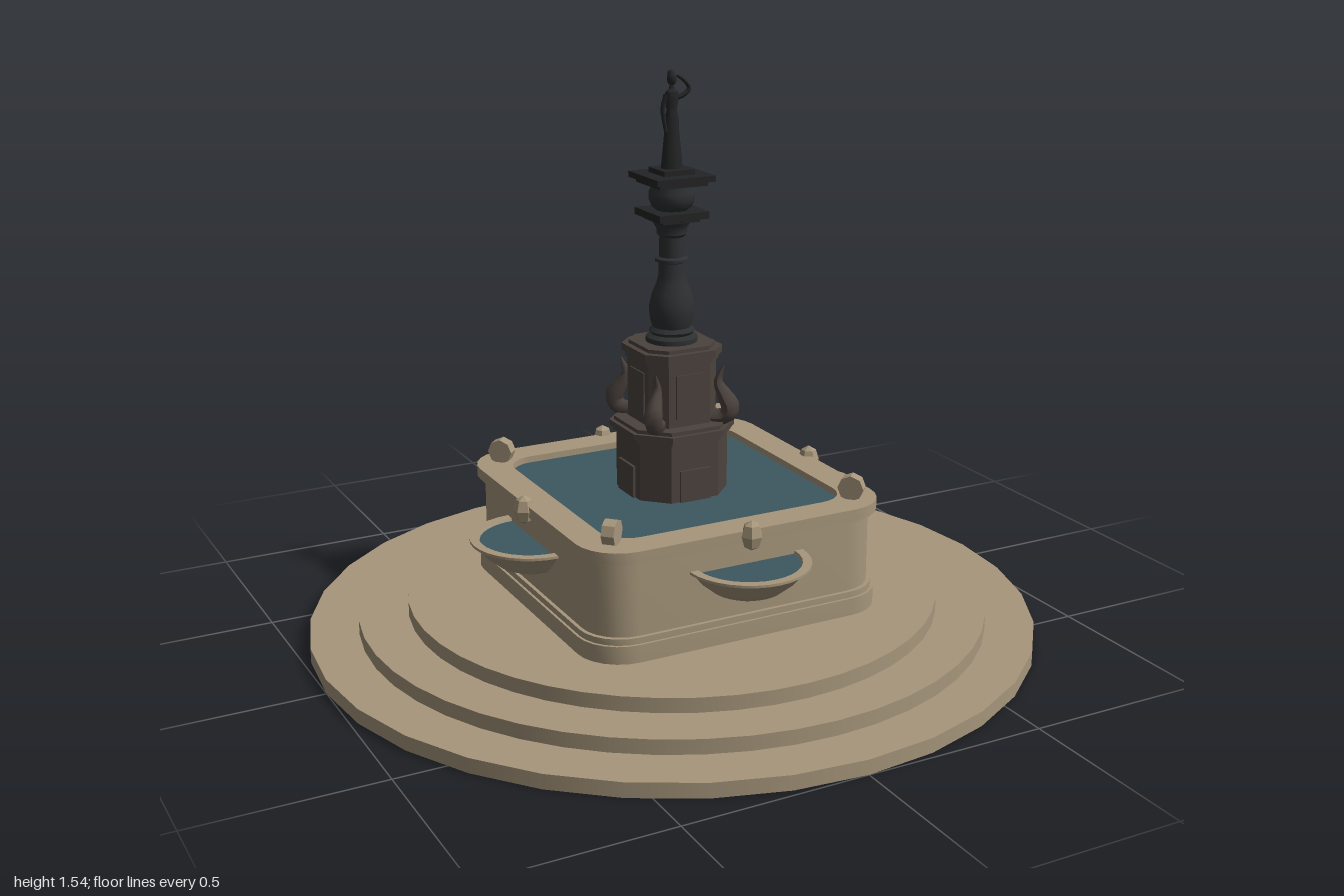
import * as THREE from 'three';
import { toCreasedNormals } from 'three/addons/utils/BufferGeometryUtils.js';

const mat = (name, color) => {
  const m = new THREE.MeshStandardMaterial({ color });
  m.name = name;
  return m;
};

// Square outline with rounded or chamfered corners
function outline(PathType, h, r, round) {
  const s = new PathType();
  s.moveTo(h - r, -h);
  for (let i = 0; i < 4; i++) {
    const a = -Math.PI / 2 + i * Math.PI / 2;
    const sx = i < 2 ? 1 : -1, sy = i === 1 || i === 2 ? 1 : -1;
    const n = round ? 6 : 1;
    for (let k = 0; k <= n; k++) {
      const t = a + k / n * Math.PI / 2;
      s.lineTo(sx * (h - r) + r * Math.cos(t), sy * (h - r) + r * Math.sin(t));
    }
  }
  s.closePath();
  return s;
}

// Upright slab from y0 to y1, optionally open in the middle
function slab(h, r, y0, y1, round, hole) {
  const s = outline(THREE.Shape, h, r, round);
  if (hole) s.holes.push(outline(THREE.Path, hole[0], hole[1], true));
  const g = new THREE.ExtrudeGeometry(s, { depth: y1 - y0, bevelEnabled: false });
  g.rotateX(-Math.PI / 2).translate(0, y0, 0);
  return round ? toCreasedNormals(g, 0.5) : g;
}

function lathe(points, segments, start = 0, length = Math.PI * 2) {
  const p = points.map(([x, y]) => new THREE.Vector2(x, y));
  return toCreasedNormals(new THREE.LatheGeometry(p, segments, start, length), 0.7);
}

// Tube whose radius follows a rule along its length
function taperedTube(points, radius, rule, n = 14, sides = 7) {
  const curve = new THREE.CatmullRomCurve3(points.map(p => new THREE.Vector3(...p)));
  const g = new THREE.TubeGeometry(curve, n, radius, sides);
  const pos = g.attributes.position, v = new THREE.Vector3();
  for (let i = 0; i < pos.count; i++) {
    const t = Math.floor(i / (sides + 1)) / n;
    v.fromBufferAttribute(pos, i).lerp(curve.getPointAt(t), 1 - rule(t));
    pos.setXYZ(i, v.x, v.y, v.z);
  }
  g.computeVertexNormals();
  return g;
}

export function createModel() {
  const model = new THREE.Group();
  model.name = 'fountain';
  const stone = mat('sandstone', 0xa6967b);
  const water = mat('water', 0x3d5861);
  const brown = mat('brown pedestal', 0x4b423d);
  const iron = mat('dark iron', 0x2d3031);
  const bronze = mat('black bronze', 0x232425);

  const add = (name, geometry, material, parent = model) => {
    const m = new THREE.Mesh(geometry, material);
    m.name = name;
    parent.add(m);
    return m;
  };

  // Round steps
  [1, 0.865, 0.73].forEach((r, i) => {
    add('step', new THREE.CylinderGeometry(r, r, 0.04, i ? 48 : 32), stone).position.y = 0.02 + i * 0.04;
  });

  // Square basin with rounded corners
  add('basinPlinth', slab(0.435, 0.12, 0.12, 0.168, true), stone);
  add('basinMoulding', slab(0.428, 0.115, 0.168, 0.185, true), stone);
  add('basinWall', slab(0.418, 0.11, 0.185, 0.385, true, [0.35, 0.08]), stone);
  add('basinRimLower', slab(0.43, 0.115, 0.382, 0.39, true, [0.35, 0.08]), stone);
  add('basinRim', slab(0.437, 0.12, 0.39, 0.42, true, [0.35, 0.08]), stone);
  add('basinWater', slab(0.351, 0.08, 0.395, 0.402, true), water);

  // Side bowls with spouts, and scrolls on the corners of the rim
  const bowlProfile = [[0.001, 0.233], [0.05, 0.238], [0.095, 0.258], [0.13, 0.287], [0.155, 0.318],
    [0.167, 0.323], [0.167, 0.33], [0.143, 0.33], [0.135, 0.308]];
  const bowlGeo = lathe(bowlProfile, 16, -Math.PI / 2, Math.PI);
  const poolGeo = new THREE.CircleGeometry(0.142, 16, Math.PI, Math.PI).rotateX(-Math.PI / 2);
  const spoutGeo = new THREE.SphereGeometry(0.03, 6, 4).scale(1, 1.35, 1).toNonIndexed();
  spoutGeo.computeVertexNormals();
  const scrollGeo = toCreasedNormals(
    new THREE.CylinderGeometry(0.035, 0.035, 0.034, 8).rotateZ(Math.PI / 2).rotateY(Math.PI / 4), 0.3);
  for (let i = 0; i < 4; i++) {
    const side = new THREE.Group();
    side.name = 'basinSide';
    side.rotation.y = i * Math.PI / 2;
    model.add(side);
    add('bowl', bowlGeo, stone, side).position.z = 0.418;
    add('bowlWater', poolGeo, water, side).position.set(0, 0.322, 0.418);
    add('spout', spoutGeo, stone, side).position.set(0, 0.406, 0.44);
    add('cornerScroll', scrollGeo, stone, side).position.set(0.355, 0.45, 0.355);
  }

  // Chamfered pedestal
  [
    [0.133, 0.062, 0.39, 0.565], [0.143, 0.07, 0.565, 0.577], [0.152, 0.076, 0.577, 0.592],
    [0.14, 0.068, 0.592, 0.602], [0.102, 0.04, 0.602, 0.77], [0.108, 0.042, 0.77, 0.785],
    [0.116, 0.046, 0.785, 0.805], [0.1, 0.04, 0.805, 0.815],
  ].forEach(([h, c, y0, y1]) => {
    // the chamfer is a single straight cut across each corner
    add('pedestalTier', slab(h, c, y0, y1, false), brown);
  });

  // Door panels and curling fish on the pedestal
  const fishGeo = taperedTube(
    [[0.1, 0.61, 0], [0.15, 0.615, 0], [0.165, 0.64, 0], [0.148, 0.675, 0], [0.13, 0.71, 0], [0.145, 0.755, 0]],
    0.026, t => t < 0.45 ? 0.8 + 0.45 * t : Math.max(0.12, 1 - (t - 0.45) * 1.6));
  for (let i = 0; i < 4; i++) {
    const face = new THREE.Group();
    face.name = 'pedestalSide';
    face.rotation.y = i * Math.PI / 2;
    model.add(face);
    add('doorPanel', new THREE.BoxGeometry(0.09, 0.09, 0.009), brown, face).position.set(0, 0.445, 0.136);
    add('upperPanel', new THREE.BoxGeometry(0.08, 0.12, 0.006), brown, face).position.set(0, 0.685, 0.103);
    const fish = add('fish', fishGeo, brown, face);
    fish.rotation.y = Math.PI / 4;
    fish.material = brown;
  }

  // Turned column
  add('column', lathe([
    [0.001, 0.812], [0.07, 0.812], [0.07, 0.828], [0.056, 0.836], [0.062, 0.845], [0.052, 0.855],
    [0.058, 0.875], [0.061, 0.9], [0.06, 0.92], [0.052, 0.95], [0.041, 0.975], [0.036, 0.995],
    [0.035, 1.03], [0.045, 1.034], [0.045, 1.042], [0.034, 1.046], [0.033, 1.1], [0.04, 1.108],
    [0.04, 1.12], [0.048, 1.135], [0.058, 1.15], [0.001, 1.15],
  ], 16), iron);

  // Square capital, lantern drum and top plate
  const plate = (name, w, y0, y1) =>
    add(name, new THREE.BoxGeometry(w, y1 - y0, w), bronze).position.y = (y0 + y1) / 2;
  plate('capitalPlate', 0.11, 1.143, 1.153);
  plate('capitalPlate', 0.146, 1.153, 1.172);
  add('drum', lathe([[0.04, 1.17], [0.053, 1.18], [0.061, 1.2], [0.061, 1.22], [0.05, 1.243], [0.05, 1.252]], 12), iron);
  plate('topPlate', 0.14, 1.24, 1.252);
  plate('topPlate', 0.17, 1.252, 1.268);
  plate('statueBase', 0.09, 1.268, 1.282);

  // Robed statue with one raised arm
  const statue = new THREE.Group();
  statue.name = 'statue';
  model.add(statue);
  add('robe', lathe([[0.03, 1.28], [0.025, 1.33], [0.02, 1.38], [0.019, 1.41], [0.014, 1.435],
    [0.019, 1.465], [0.017, 1.482], [0.007, 1.49], [0.006, 1.502]], 10).scale(1, 1, 0.85), bronze, statue);
  add('head', new THREE.SphereGeometry(0.014, 10, 8).scale(0.9, 1.25, 1), bronze, statue).position.y = 1.515;
  add('hair', new THREE.SphereGeometry(0.01, 8, 6), bronze, statue).position.set(0, 1.528, -0.004);
  add('raisedArm', taperedTube([[0.014, 1.465, 0], [0.032, 1.472, 0.004], [0.048, 1.488, 0.006],
    [0.035, 1.508, 0.006], [0.012, 1.525, 0.004]], 0.007, t => 1 - 0.35 * t, 12, 6), bronze, statue);
  add('loweredArm', taperedTube([[-0.016, 1.475, 0], [-0.026, 1.44, 0], [-0.026, 1.41, 0.006],
    [-0.022, 1.38, 0.01]], 0.007, t => 1 - 0.3 * t, 8, 6), bronze, statue);

  return model;
}
